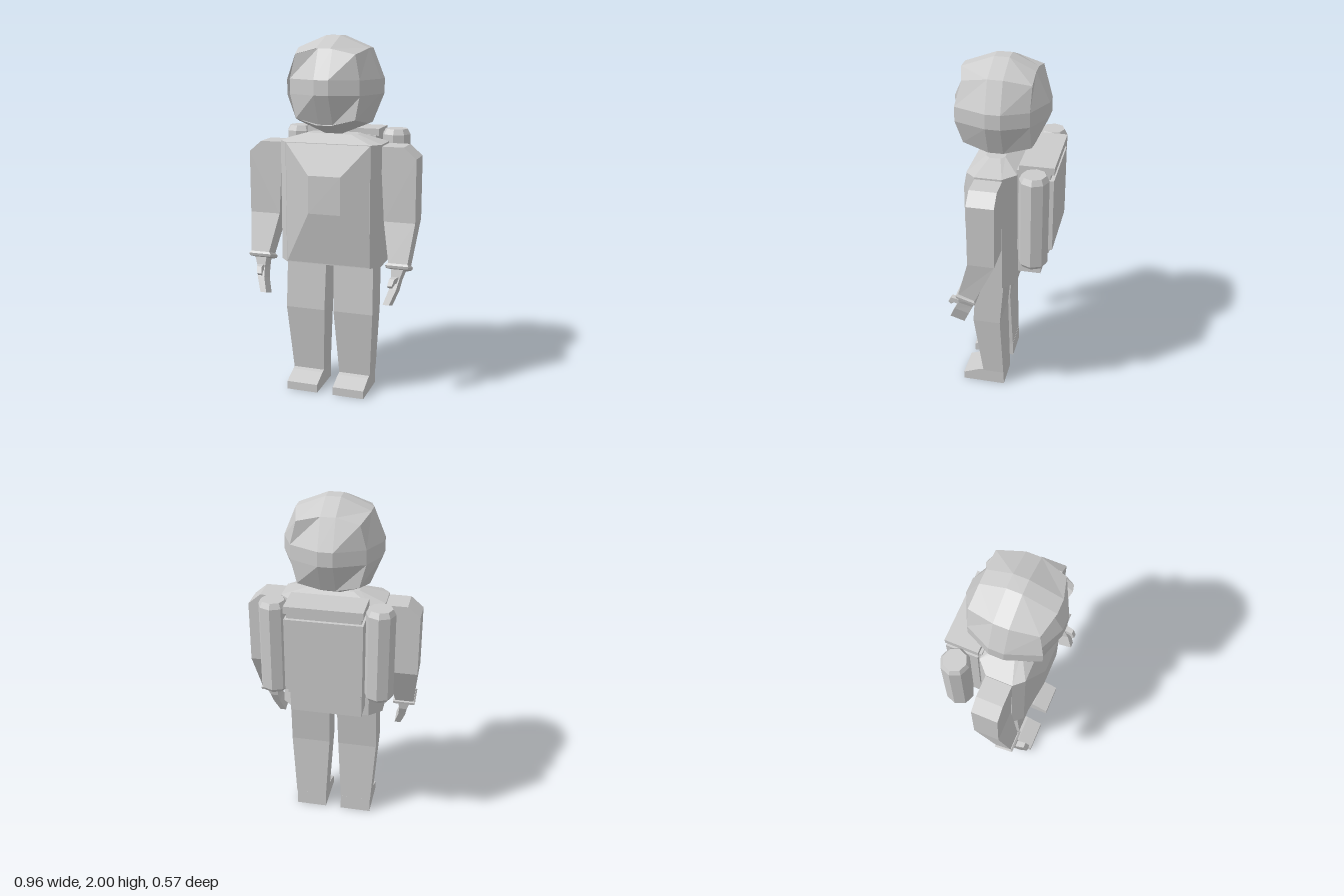
import * as THREE from 'three';

const mat = new THREE.MeshStandardMaterial({ color: 0xcccccc, flatShading: true });
const thin = new THREE.MeshStandardMaterial({ color: 0xcccccc, flatShading: true, side: THREE.DoubleSide });

function mesh(name, geo, material = mat) {
  const m = new THREE.Mesh(geo, material);
  m.name = name;
  return m;
}

// Skin a closed solid over rings of [x, y, z] points; s = -1 mirrors it in x
function loft(rings, s = 1) {
  const tris = [];
  const n = rings[0].length;
  const last = rings.length - 1;
  for (let r = 0; r < last; r++) {
    for (let i = 0; i < n; i++) {
      const j = (i + 1) % n;
      const [a, b, c, d] = [rings[r][i], rings[r][j], rings[r + 1][j], rings[r + 1][i]];
      tris.push([a, b, c], [a, c, d]);
    }
  }
  for (let i = 1; i < n - 1; i++) {
    tris.push([rings[0][0], rings[0][i + 1], rings[0][i]]);
    tris.push([rings[last][0], rings[last][i], rings[last][i + 1]]);
  }
  // Turn faces outward by the sign of the enclosed volume
  const v = tris.map(t => t.map(p => new THREE.Vector3(p[0] * s, p[1], p[2])));
  const volume = v.reduce((sum, [a, b, c]) => sum + a.dot(b.clone().cross(c)), 0);
  const points = v.flatMap(([a, b, c]) => (volume > 0 ? [a, b, c] : [a, c, b]));
  const geo = new THREE.BufferGeometry().setFromPoints(points);
  geo.computeVertexNormals();
  return geo;
}

// Four-cornered ring; back and front may sit at different heights
const quad = (x0, x1, zBack, zFront, yBack, yFront = yBack) => [
  [x0, yBack, zBack], [x1, yBack, zBack], [x1, yFront, zFront], [x0, yFront, zFront]];

function box(name, x0, x1, y0, y1, z0, z1) {
  const m = mesh(name, new THREE.BoxGeometry(x1 - x0, y1 - y0, z1 - z0));
  m.position.set((x0 + x1) / 2, (y0 + y1) / 2, (z0 + z1) / 2);
  return m;
}

// Rounded cube of 3 x 3 panels per side with a narrow middle band
function helmet() {
  const g = new THREE.Group();
  g.name = 'helmet';
  const sphere = isVisor => {
    const geo = new THREE.BoxGeometry(2, 2, 2, 3, 3, 3);
    const p = geo.attributes.position;
    for (let i = 0; i < p.count; i++) {
      const t = [p.getX(i), p.getY(i), p.getZ(i)];
      const outer = t.filter(c => Math.abs(c) > 0.9).length;
      const size = [[0.265, 0.265, 0.2525], [0.2, 0.2, 0.178], [0.166, 0.17, 0.182]][outer - 1];
      const q = t.map((c, k) => Math.sign(c) * (Math.abs(c) > 0.9 ? size[k] : 0.04));
      // The shell rim stands proud of the visor
      if (!isVisor && outer === 2 && t[2] > 0.9) q[2] += 0.037;
      p.setXYZ(i, ...q);
    }
    // Box groups: 4 is the front side
    const idx = Array.from(geo.index.array);
    const f = geo.groups[4];
    geo.setIndex(idx.filter((_, i) => (i >= f.start && i < f.start + f.count) === isVisor));
    geo.clearGroups();
    geo.computeVertexNormals();
    return geo;
  };
  g.add(mesh('helmetShell', sphere(false), thin), mesh('visor', sphere(true), thin));
  g.position.set(0, 1.735, 0.032);
  return g;
}

function torso() {
  const g = new THREE.Group();
  g.name = 'torso';
  const oct = (y, xs, xf, xb, zf, zsf, zsb, zb) => [
    [xf, y, zf], [xs, y, zsf], [xs, y, zsb], [xb, y, zb],
    [-xb, y, zb], [-xs, y, zsb], [-xs, y, zsf], [-xf, y, zf]];
  g.add(mesh('body', loft([
    oct(0.75, 0.29, 0.242, 0.22, 0.18, 0.127, -0.02, -0.085),
    oct(1.43, 0.29, 0.242, 0.22, 0.18, 0.127, -0.02, -0.085),
    oct(1.475, 0.14, 0.11, 0.11, 0.105, 0.08, 0.02, 0),
  ])));
  // Raised chest with a flat centre panel
  const panel = (x, y0, y1, z) => [[-x, y0, z], [x, y0, z], [x, y1, z], [-x, y1, z]];
  g.add(mesh('chest', loft([panel(0.242, 0.75, 1.43, 0.179), panel(0.092, 1.05, 1.26, 0.237)])));
  return g;
}

function arm(s) {
  const g = new THREE.Group();
  g.name = s > 0 ? 'leftArm' : 'rightArm';
  g.add(mesh('sleeve', loft([
    quad(0.285, 0.41, -0.022, 0.125, 1.42),
    quad(0.285, 0.48, -0.022, 0.125, 1.36),
    quad(0.305, 0.48, -0.02, 0.125, 1.01),
    quad(0.35, 0.455, 0.1, 0.188, 0.755, 0.79),
  ], s)));
  g.add(mesh('cuff', loft([
    quad(0.345, 0.457, 0.1, 0.19, 0.765, 0.797),
    quad(0.335, 0.465, 0.093, 0.2, 0.753, 0.787),
    quad(0.338, 0.462, 0.096, 0.197, 0.738, 0.772),
    quad(0.36, 0.44, 0.11, 0.19, 0.735, 0.765),
  ], s)));
  g.add(mesh('hand', loft([
    quad(0.365, 0.435, 0.112, 0.185, 0.745, 0.77),
    quad(0.37, 0.415, 0.12, 0.2, 0.69, 0.71),
    quad(0.365, 0.405, 0.145, 0.225, 0.635, 0.66),
    quad(0.34, 0.375, 0.18, 0.26, 0.555, 0.58),
  ], s)));
  g.add(mesh('thumb', loft([
    quad(0.375, 0.41, 0.18, 0.2, 0.69, 0.725),
    quad(0.37, 0.4, 0.23, 0.245, 0.695, 0.725),
    quad(0.365, 0.39, 0.25, 0.264, 0.675, 0.69),
  ], s)));
  return g;
}

function leg(s) {
  const g = new THREE.Group();
  g.name = s > 0 ? 'leftLeg' : 'rightLeg';
  g.add(mesh('trouser', loft([
    quad(0.022, 0.252, -0.02, 0.14, 0.76),
    quad(0.027, 0.255, 0.004, 0.16, 0.475),
    quad(0.047, 0.23, -0.01, 0.113, 0.085),
  ], s)));
  const side = [[-0.013, 0], [0.235, 0], [0.235, 0.047], [0.14, 0.085], [0.113, 0.09], [-0.01, 0.09]];
  g.add(mesh('boot', loft([0.047, 0.228].map(x => side.map(([z, y]) => [x, y, z])), s)));
  return g;
}

function backpack() {
  const g = new THREE.Group();
  g.name = 'backpack';
  g.add(
    box('packCore', -0.2, 0.2, 0.96, 1.45, -0.26, -0.08),
    box('packPanel', -0.212, 0.212, 0.99, 1.41, -0.28, -0.1),
    box('packLid', -0.212, 0.212, 1.445, 1.485, -0.282, -0.095),
    box('packBase', -0.2, 0.2, 0.82, 0.985, -0.217, -0.09),
  );
  // Eight-sided tanks with chamfered ends
  const profile = [[0, 0.945], [0.066, 0.945], [0.08, 0.965], [0.08, 1.45], [0.064, 1.48], [0, 1.48]]
    .map(([r, y]) => new THREE.Vector2(r, y));
  for (const s of [1, -1]) {
    const tank = mesh(s > 0 ? 'leftTank' : 'rightTank', new THREE.LatheGeometry(profile, 8));
    tank.position.set(0.29 * s, 0, -0.19);
    g.add(tank);
  }
  return g;
}

export function createModel() {
  const model = new THREE.Group();
  model.name = 'spacesuitFigure';
  model.add(helmet(), torso(), backpack());
  for (const s of [1, -1]) model.add(arm(s), leg(s));
  return model;
}
